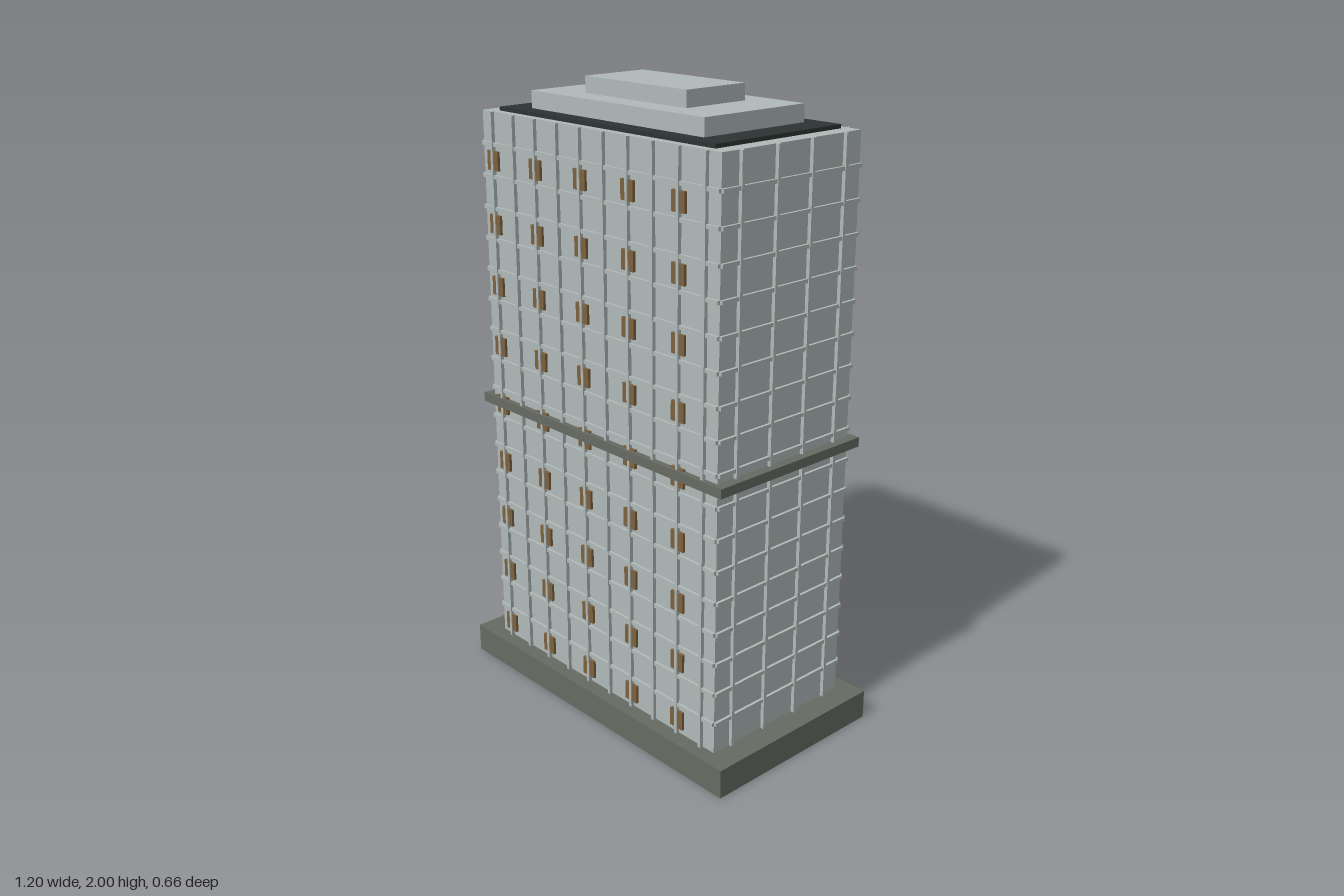
import * as THREE from 'three';

const mat = (name, color) => {
  const m = new THREE.MeshStandardMaterial({ color });
  m.name = name;
  return m;
};

export function createModel() {
  const stone = mat('pale stone', 0xb0bab8);
  const plinth = mat('grey plinth', 0x676b63);
  const slate = mat('dark slate', 0x2d3433);
  const glow = mat('amber window', 0x7d623f);

  const tower = new THREE.Group();
  tower.name = 'tower';

  const box = (name, material, w, h, d, x, y, z, parent = tower) => {
    const m = new THREE.Mesh(new THREE.BoxGeometry(w, h, d), material);
    m.name = name;
    m.position.set(x, y, z);
    parent.add(m);
    return m;
  };
  // Full-footprint slab between two heights
  const slab = (name, material, w, d, y0, y1) =>
    box(name, material, w, y1 - y0, d, 0, (y0 + y1) / 2, 0);

  const W = 1.035, D = 0.55, HX = W / 2, HZ = D / 2;
  const Y0 = 0.095, Y1 = 1.885, FLOORS = 18, FLOOR = (Y1 - Y0) / FLOORS;

  // Shaft with one cut corner at the back (shape y becomes -z)
  const plan = new THREE.Shape([
    [-HX, -HZ], [HX, -HZ], [HX, HZ], [-0.27, HZ], [-HX, 0.02],
  ].map(([x, y]) => new THREE.Vector2(x, y)));
  const shaftGeo = new THREE.ExtrudeGeometry(plan, { depth: Y1, bevelEnabled: false });
  shaftGeo.rotateX(-Math.PI / 2);
  const shaft = new THREE.Mesh(shaftGeo, stone);
  shaft.name = 'shaft';
  tower.add(shaft);

  // Plinth, mid-height belt and stepped roof
  slab('base', plinth, 1.195, 0.65, 0.001, Y0);
  slab('belt', plinth, 1.1, 0.587, 0.935, 0.965);
  slab('roofSlab', slate, 0.933, 0.497, Y1, 1.897);
  slab('lowerPenthouse', stone, 0.745, 0.395, 1.897, 1.95);
  slab('upperPenthouse', stone, 0.435, 0.23, 1.95, 2);

  // One facade facing +z in its own group: mullions, floor bars, windows
  const facade = (name, width, distance, bays, angle, lit) => {
    const g = new THREE.Group();
    g.name = name;
    g.rotation.y = angle;
    const bay = width / bays;
    for (let i = 0; i < bays; i++) {
      const x = -width / 2 + bay * (i + 0.5);
      box('mullion', stone, 0.01, Y1 - Y0, 0.02, x, (Y0 + Y1) / 2, distance + 0.002, g);
    }
    for (let f = 1; f < FLOORS; f++)
      box('floorBar', stone, width, 0.012, 0.016, 0, Y0 + f * FLOOR, distance + 0.001, g);
    for (const i of lit)
      for (let f = 0; f < FLOORS; f += 2)
        box('window', glow, 0.052, 0.06, 0.009, -width / 2 + bay * (i + 0.5),
          Y0 + FLOOR * (f + 0.5), distance + 0.004, g);
    tower.add(g);
  };
  facade('frontFacade', W, HZ, 10, 0, [0, 2, 4, 6, 8]);
  facade('backFacade', W, HZ, 10, Math.PI, [1, 3, 5, 7, 9]);
  facade('leftFacade', D, HX, 4, Math.PI / 2, []);
  facade('rightFacade', D, HX, 4, -Math.PI / 2, []);

  // Slight turn of the whole tower on its site
  tower.rotation.y = 0.0125;
  const model = new THREE.Group();
  model.name = 'highRise';
  model.add(tower);
  return model;
}
